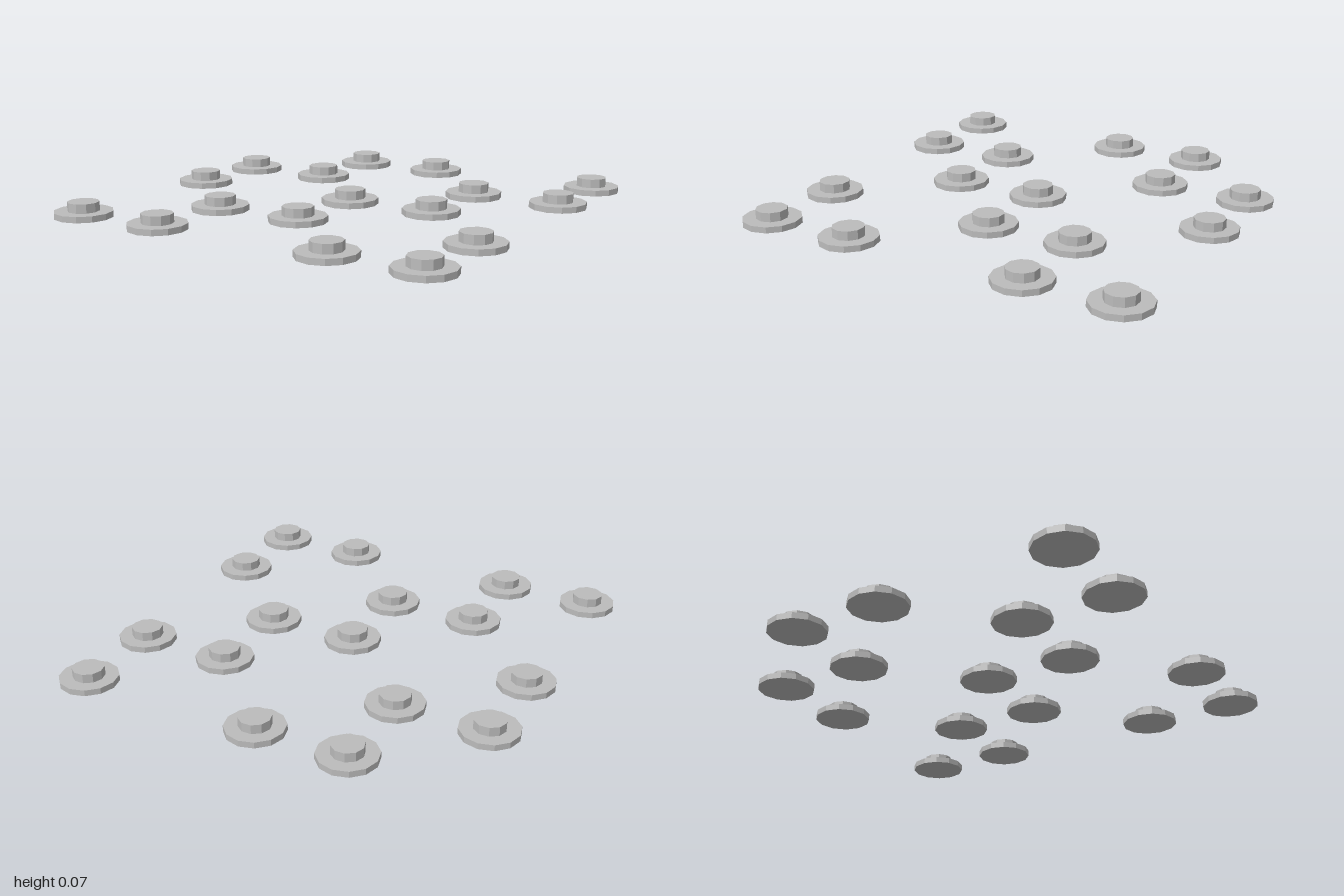
import * as THREE from 'three';

export function createModel() {
  const model = new THREE.Group();
  model.name = 'studField';
  const grey = new THREE.MeshStandardMaterial({ color: 0xbcbcbc });
  grey.name = 'grey';

  const R = 0.134, STEP = 0.433, BASE = 0.028, TOP = 0.07;

  // Faceted cylinder standing on the given height, with a corner on the x axis
  const prism = (radius, sides, y0, y1) =>
    new THREE.CylinderGeometry(radius, radius, y1 - y0, sides, 1, false, Math.PI / 2)
      .toNonIndexed().translate(0, (y0 + y1) / 2, 0);
  const flat = (g) => { g.computeVertexNormals(); return g; };
  const flangeGeo = flat(prism(R, 12, 0, BASE));
  const knobGeo = flat(prism(0.072, 10, BASE, TOP));

  // Occupied places, one row per line from back to front
  const layout = [
    '.XX.X',
    'XX.XX',
    'X.XX.',
    '.XX.X',
    'XX.XX',
  ];
  layout.forEach((row, r) => [...row].forEach((cell, c) => {
    if (cell !== 'X') return;
    const stud = new THREE.Group();
    stud.name = `stud_${r + 1}_${c + 1}`;
    const flange = new THREE.Mesh(flangeGeo, grey);
    flange.name = 'flange';
    const knob = new THREE.Mesh(knobGeo, grey);
    knob.name = 'knob';
    stud.add(flange, knob);
    stud.position.set((c - 2) * STEP, 0, (r - 2) * STEP);
    model.add(stud);
  }));
  return model;
}
